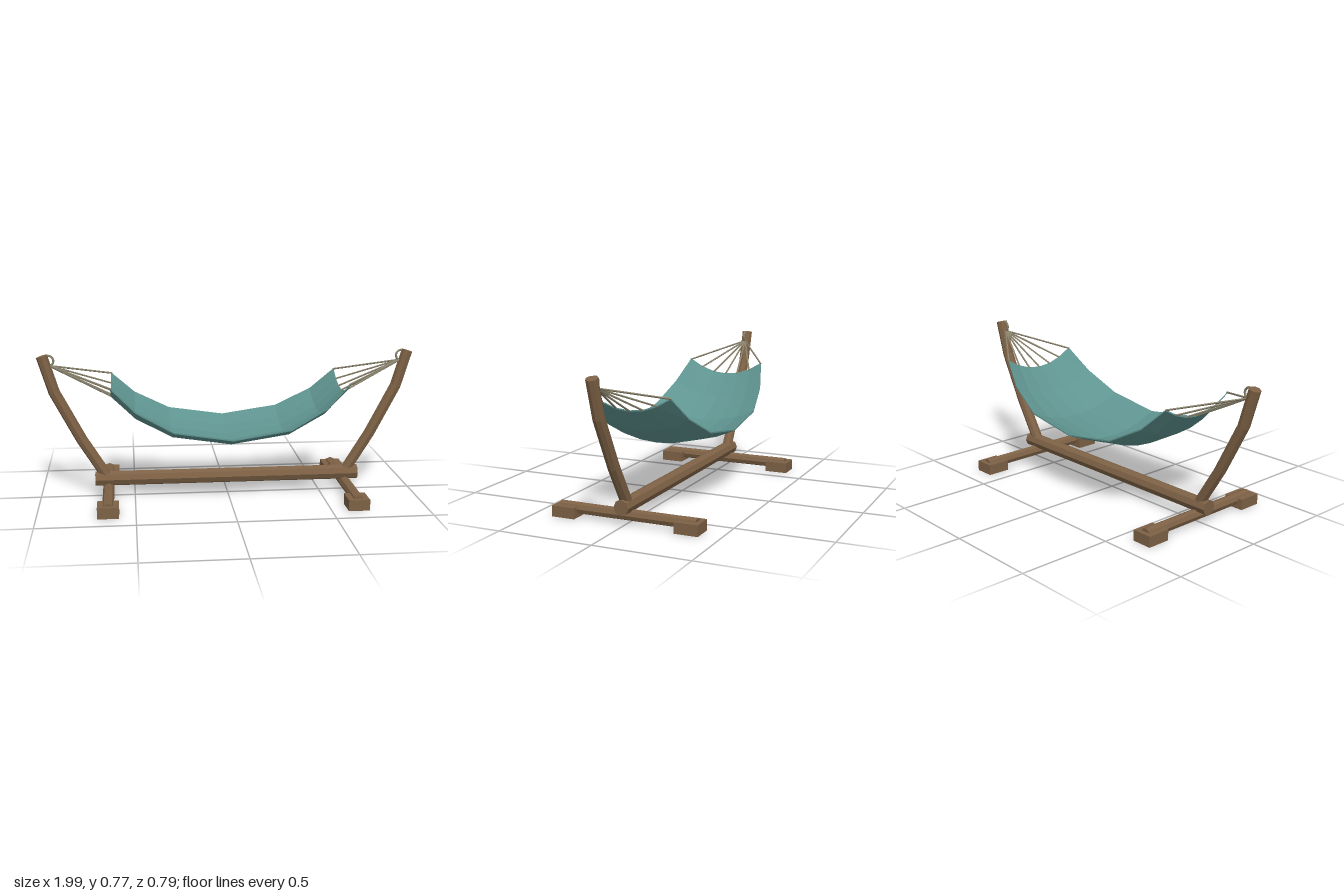
import * as THREE from 'three';

const mat = (color) => new THREE.MeshStandardMaterial({ color, flatShading: true });

export function createModel() {
  const model = new THREE.Group();
  const wood = mat(0x7d6145), cloth = mat(0x5f9490), rope = mat(0x8a836d);

  const add = (name, geometry, material, x = 0, y = 0, z = 0) => {
    const mesh = new THREE.Mesh(geometry, material);
    mesh.name = name;
    mesh.position.set(x, y, z);
    model.add(mesh);
    return mesh;
  };

  // Straight pole between two points
  const pole = (name, a, b, radius, sides, material) => {
    const dir = b.clone().sub(a);
    const mesh = add(name, new THREE.CylinderGeometry(radius, radius, dir.length(), sides), material);
    mesh.position.copy(a).add(b).multiplyScalar(0.5);
    mesh.quaternion.setFromUnitVectors(new THREE.Vector3(0, 1, 0), dir.normalize());
  };
  const V = (x, y, z) => new THREE.Vector3(x, y, z);

  // Bent post: a cylinder whose rings are moved onto the path and tilted
  const postPath = [[0.64, 0.095], [0.775, 0.313], [0.91, 0.572], [0.967, 0.762]];
  const postGeometry = (side) => {
    const n = postPath.length - 1;
    const g = new THREE.CylinderGeometry(0.03, 0.03, n, 8, n);
    const p = g.attributes.position;
    for (let i = 0; i < p.count; i++) {
      const k = Math.round(p.getY(i) + n / 2);
      const [a, b] = [postPath[Math.max(k - 1, 0)], postPath[Math.min(k + 1, n)]];
      const angle = Math.atan2(side * (b[0] - a[0]), b[1] - a[1]);
      const x = p.getX(i);
      p.setXYZ(i, side * postPath[k][0] + x * Math.cos(angle),
        postPath[k][1] - x * Math.sin(angle), p.getZ(i));
    }
    g.computeVertexNormals();
    return g;
  };

  // Sling: a thin box bent into a sagging trough. Stations: x, sag height, half width
  const stations = [[0, 0.285, 0.3], [0.3, 0.33, 0.295], [0.49, 0.43, 0.262], [0.615, 0.548, 0.22]];
  const curl = (t) => 0.075 * t * t;
  const sling = new THREE.BoxGeometry(6, 1, 2, 6, 1, 6);
  const p = sling.attributes.position;
  for (let i = 0; i < p.count; i++) {
    const k = Math.round(p.getX(i)), t = p.getZ(i);
    const [x, y, w] = stations[Math.abs(k)];
    p.setXYZ(i, Math.sign(k) * x, y + curl(t) + (p.getY(i) > 0 ? 0.007 : 0), t * w);
  }
  sling.computeVertexNormals();
  add('sling', sling, cloth);

  // Base beam
  pole('baseBeam', V(-0.71, 0.095, 0), V(0.71, 0.095, 0), 0.04, 8, wood);

  for (const side of [-1, 1]) {
    const label = side > 0 ? 'left' : 'right';
    add(label + 'Post', postGeometry(side), wood);

    // Cross bar and its feet
    pole(label + 'CrossBar', V(side * 0.64, 0.045, -0.37), V(side * 0.64, 0.045, 0.37), 0.03, 8, wood);
    for (const z of [-1, 1]) {
      add(label + (z > 0 ? 'FrontFoot' : 'BackFoot'),
        new THREE.BoxGeometry(0.11, 0.057, 0.125), wood, side * 0.64, 0.0285, z * 0.332);
    }

    // Hanging ring and fan of ropes
    add(label + 'Ring', new THREE.TorusGeometry(0.028, 0.006, 6, 12), rope, side * 0.935, 0.737, 0);
    const [x, y, w] = stations[3];
    for (let i = -3; i <= 3; i++) {
      const t = i / 3;
      pole(label + 'Rope', V(side * 0.93, 0.712, 0), V(side * (x - 0.004), y + curl(t) + 0.003, t * w), 0.005, 5, rope);
    }
  }
  return model;
}
